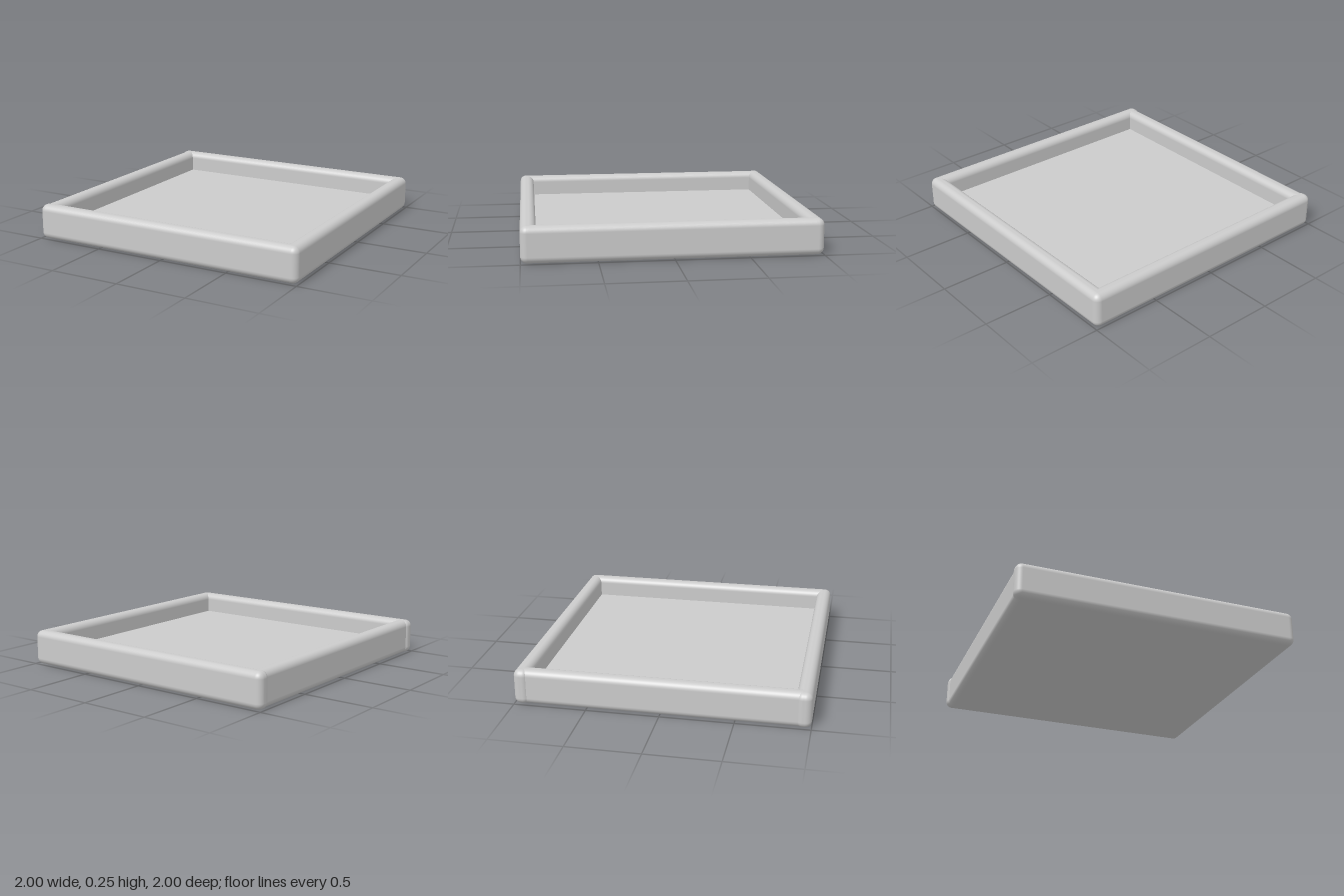
import * as THREE from 'three';
import { RoundedBoxGeometry } from 'three/addons/geometries/RoundedBoxGeometry.js';

const HEIGHT = 0.246;
const RAIL = 0.105;
const RADIUS = 0.045;
const FLOOR_TOP = 0.1;

export function createModel() {
  const tray = new THREE.Group();
  tray.name = 'tray';
  const material = new THREE.MeshStandardMaterial({ color: 0xcccccc });

  function add(name, geometry, x, y, z) {
    const mesh = new THREE.Mesh(geometry, material);
    mesh.name = name;
    mesh.position.set(x, y, z);
    tray.add(mesh);
  }

  // Flat floor slab, its edges buried in the rails
  add('floor', new THREE.BoxGeometry(1.89, FLOOR_TOP, 1.89), 0, FLOOR_TOP / 2, 0);

  // Front and back rails run the full width
  const longRail = new RoundedBoxGeometry(2, HEIGHT, RAIL, 6, RADIUS);
  for (const [name, side] of [['frontRail', 1], ['backRail', -1]]) {
    add(name, longRail, 0, HEIGHT / 2, side * (1 - RAIL / 2));
  }

  // Side rails butt into them; the one on the -x side sits slightly inset
  const sideRail = new RoundedBoxGeometry(RAIL, HEIGHT, 1.98, 6, RADIUS);
  add('leftRail', sideRail, 1 - RAIL / 2, HEIGHT / 2, 0);
  add('rightRail', sideRail, -0.99 + RAIL / 2, HEIGHT / 2, 0);

  return tray;
}
